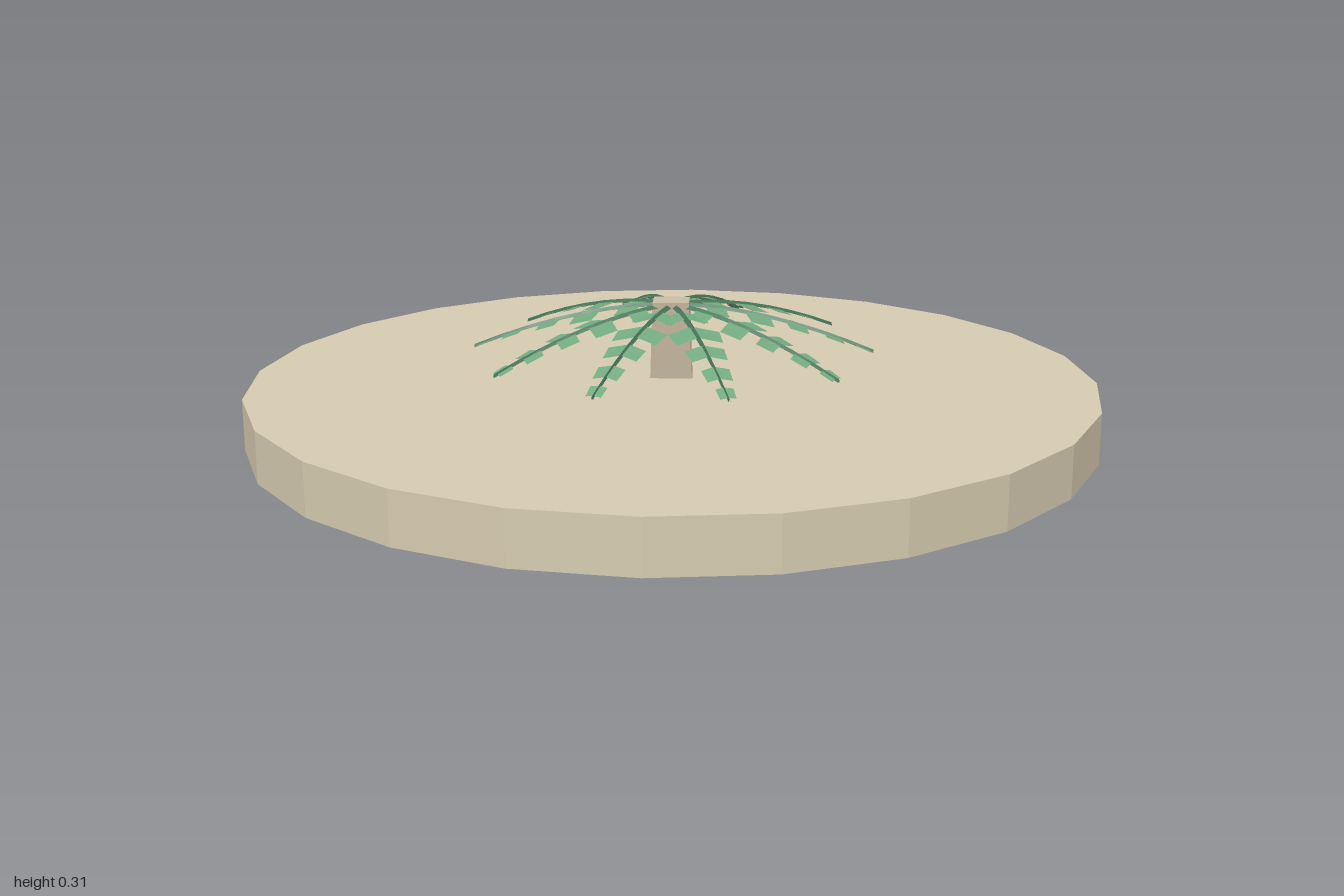
import * as THREE from 'three';

const mat = (name, color) => {
  const m = new THREE.MeshStandardMaterial({ color, flatShading: true, side: THREE.DoubleSide });
  m.name = name;
  return m;
};

// Height of a frond's arch at distance r from the middle
const archY = (r) => 0.302 - 0.11 * Math.pow(r / 0.475, 1.8);

// Surface from a list of quads, each given as four corners
function quads(list) {
  const p = [];
  for (const [a, b, c, d] of list) p.push(...a, ...b, ...c, ...a, ...c, ...d);
  const g = new THREE.BufferGeometry();
  g.setAttribute('position', new THREE.Float32BufferAttribute(p, 3));
  g.computeVertexNormals();
  return g;
}

// Tapered midrib with a ridged top, running along +x
function ribGeometry() {
  const list = [], n = 7, end = 0.475;
  const at = (i) => {
    const r = 0.02 + (end - 0.02) * i / n, w = 0.009 - 0.007 * i / n;
    return [[r, archY(r) - 0.006, w], [r, archY(r) + 0.002, 0], [r, archY(r) - 0.006, -w]];
  };
  for (let i = 0; i < n; i++) {
    const a = at(i), b = at(i + 1);
    for (let k = 0; k < 2; k++) list.push([a[k], b[k], b[k + 1], a[k + 1]]);
  }
  return quads(list);
}

// Paired leaflets: [distance, width along the rib, reach to the side]
function leafletGeometry() {
  const rows = [[0.075, 0.05, 0.055], [0.17, 0.06, 0.06], [0.265, 0.05, 0.045], [0.355, 0.045, 0.032], [0.43, 0.035, 0.02]];
  const list = [];
  for (const [r, w, reach] of rows) {
    for (const s of [1, -1]) {
      const sweep = reach * 0.3, drop = reach * 0.25;
      const inner = [r, archY(r) - 0.003, 0], outer = [r + w, archY(r + w) - 0.003, 0];
      const outerTip = [r + w + sweep * 0.6, archY(r + w) - drop, s * reach * 0.9];
      const innerTip = [r + sweep, archY(r) - drop, s * reach];
      list.push(s > 0 ? [inner, innerTip, outerTip, outer] : [inner, outer, outerTip, innerTip]);
    }
  }
  return quads(list);
}

export function createModel() {
  const model = new THREE.Group();
  model.name = 'palmOnDisc';
  const sand = mat('sand', 0xd6cbb0);
  const bark = mat('bark', 0xcabca2);
  const leaf = mat('leafGreen', 0x72aa80);
  const rib = mat('ribGreen', 0x47775a);
  const add = (name, geometry, material, parent = model) => {
    const m = new THREE.Mesh(geometry, material);
    m.name = name;
    parent.add(m);
    return m;
  };

  // Round ground disc
  add('groundDisc', new THREE.CylinderGeometry(1, 1, 0.12, 24), sand).position.y = 0.06;

  // Short flat trunk, thin at its foot and wider in depth at the top
  const trunk = new THREE.BoxGeometry(0.1, 0.19, 0.07);
  const p = trunk.attributes.position;
  for (let i = 0; i < p.count; i++) {
    if (p.getY(i) < 0) p.setZ(i, p.getZ(i) * 0.36 + 0.002);
    else p.setX(i, p.getX(i) * 0.85);
  }
  trunk.computeVertexNormals();
  add('trunk', trunk, bark).position.set(-0.003, 0.213, 0);

  // Crown of ten arching fronds
  const ribGeo = ribGeometry(), leafGeo = leafletGeometry();
  for (let i = 0; i < 10; i++) {
    const frond = new THREE.Group();
    frond.name = 'frond' + (i + 1);
    add('midrib', ribGeo, rib, frond);
    add('leaflets', leafGeo, leaf, frond);
    frond.rotation.y = i * Math.PI / 5;
    model.add(frond);
  }
  return model;
}
